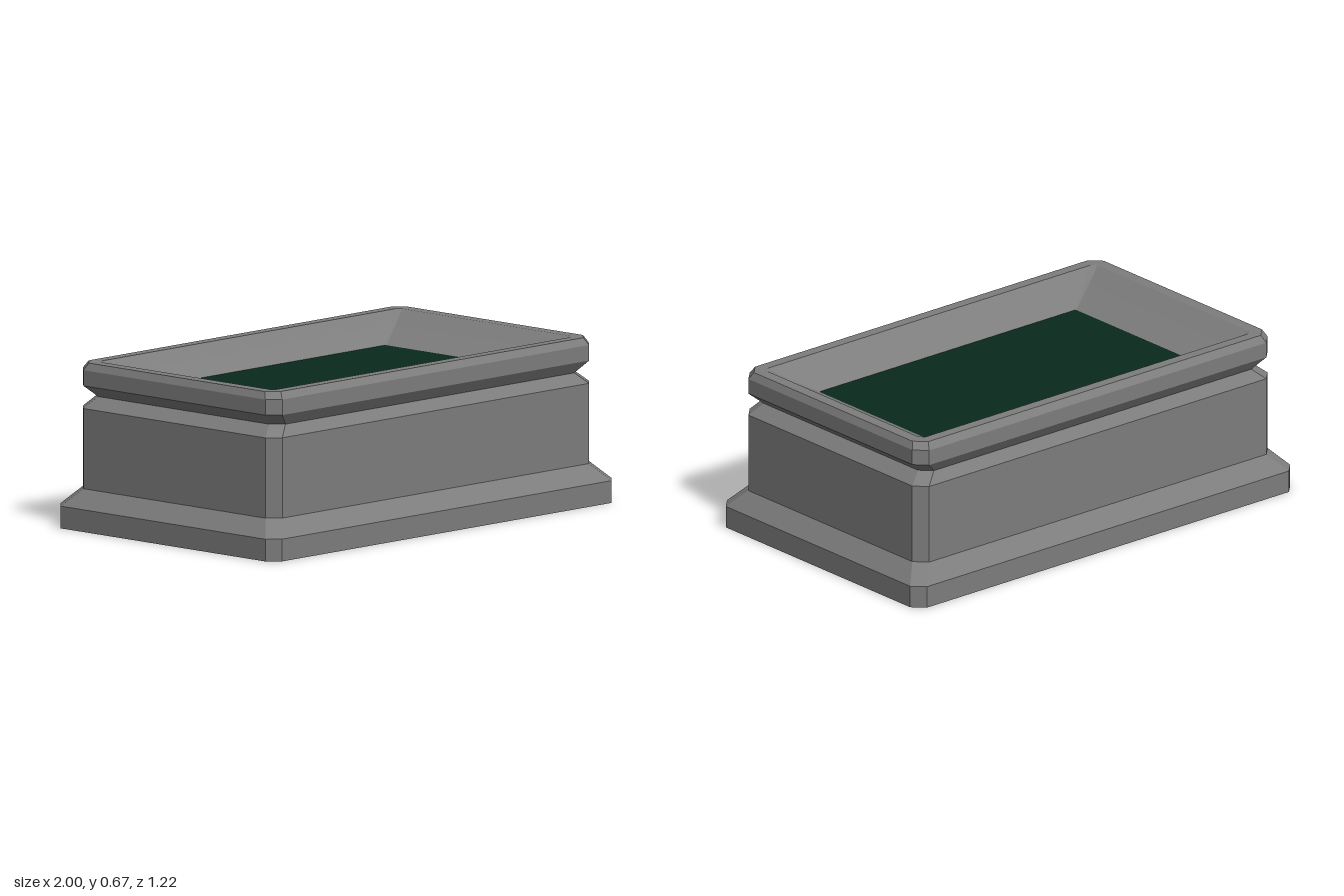
import * as THREE from 'three';

// Rectangle with cut corners, as eight points running counter-clockwise seen from above
function ring([y, hx, hz, c]) {
  return [
    [hx, hz - c], [hx, c - hz], [hx - c, -hz], [c - hx, -hz],
    [-hx, c - hz], [-hx, hz - c], [c - hx, hz], [hx - c, hz],
  ].map(([x, z]) => [x, y, z]);
}

// Flat-faced skin through a list of [y, halfX, halfZ, cornerCut] levels
function loft(levels, capStart = false, capEnd = false) {
  const rings = levels.map(ring);
  const pos = [];
  const tri = (a, b, c) => pos.push(...a, ...b, ...c);
  for (let i = 0; i < rings.length - 1; i++) {
    const lo = rings[i], hi = rings[i + 1];
    for (let k = 0; k < 8; k++) {
      const n = (k + 1) % 8;
      tri(lo[k], lo[n], hi[n]);
      tri(lo[k], hi[n], hi[k]);
    }
  }
  const last = rings[rings.length - 1];
  for (let k = 1; k < 7; k++) {
    if (capStart) tri(rings[0][0], rings[0][k + 1], rings[0][k]);
    if (capEnd) tri(last[0], last[k], last[k + 1]);
  }
  const geometry = new THREE.BufferGeometry();
  geometry.setAttribute('position', new THREE.Float32BufferAttribute(pos, 3));
  geometry.computeVertexNormals();
  return geometry;
}

export function createModel() {
  const model = new THREE.Group();
  model.name = 'basin';
  const stone = new THREE.MeshStandardMaterial({ color: 0x7d7d7d, flatShading: true });
  const water = new THREE.MeshStandardMaterial({ color: 0x0a291c });

  const add = (name, geometry, material) => {
    const mesh = new THREE.Mesh(geometry, material);
    mesh.name = name;
    model.add(mesh);
  };

  // Wide foot with a sloping top
  add('plinth', loft([
    [0, 1, 0.612, 0.047], [0.09, 1, 0.612, 0.047], [0.16, 0.935, 0.55, 0.048],
  ], true), stone);

  // Straight walls drawn in to the neck
  add('body', loft([
    [0.16, 0.935, 0.55, 0.048], [0.485, 0.935, 0.55, 0.048], [0.53, 0.88, 0.518, 0.045],
  ]), stone);

  // Flared rim, bevelled lip and inner walls that ease off as they run below the water
  add('rim', loft([
    [0.53, 0.88, 0.518, 0.045], [0.577, 0.935, 0.55, 0.048], [0.64, 0.935, 0.55, 0.048],
    [0.669, 0.92, 0.53, 0.045], [0.669, 0.87, 0.484, 0.02], [0.618, 0.79, 0.438, 0.012],
    [0.557, 0.675, 0.371, 0.004], [0.535, 0.634, 0.347, 0.003],
  ], false, true), stone);

  // Water surface filling the basin
  const surface = new THREE.PlaneGeometry(1.35, 0.742);
  surface.rotateX(-Math.PI / 2).translate(0, 0.557, 0);
  add('water', surface, water);

  return model;
}
